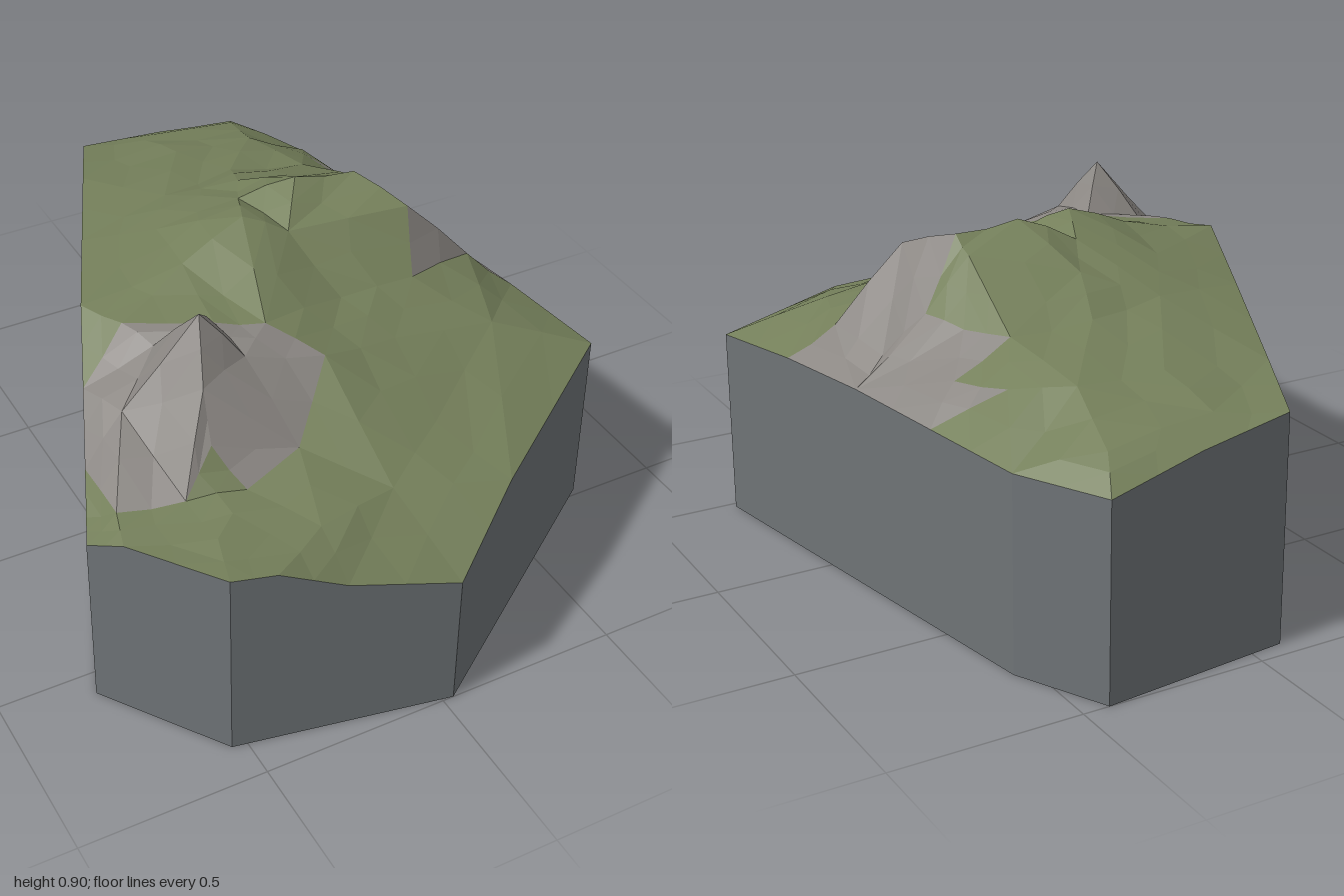
import * as THREE from 'three';

// Outline corners: x, z, rim height, then extra rim points along the edge to the next corner [fraction, height]
const CORNERS = [
  [-0.09, -0.95, 0.61, [[0.15, 0.65], [0.4, 0.71], [0.627, 0.76], [0.75, 0.65], [0.87, 0.555], [0.94, 0.5]]],
  [-0.76, 0.57, 0.5, [[0.27, 0.54]]],
  [-0.54, 0.89, 0.55, [[0.2, 0.54], [0.5, 0.46]]],
  [0.03, 1.0, 0.39, [[0.346, 0.48]]],
  [0.76, 0.48, 0.515, [[0.25, 0.535], [0.5, 0.54], [0.75, 0.53]]],
  [0.55, -0.76, 0.52, []],
  [0.43, -1.0, 0.52, [[0.5, 0.575]]],
];

// Ground points inside the outline: x, z, height
const GROUND = [
  // west crag
  [-0.34, 0.34, 0.89], [-0.45, 0.12, 0.76], [-0.41, 0.22, 0.74], [-0.25, 0.24, 0.77], [-0.13, 0.29, 0.76],
  [-0.03, 0.42, 0.71], [-0.24, 0.39, 0.76], [-0.39, 0.46, 0.76], [-0.36, 0.63, 0.56], [-0.51, 0.6, 0.56],
  [-0.41, 0.54, 0.65], [-0.55, 0.33, 0.66],
  // summit ridge
  [0.16, -0.09, 0.9], [0.33, -0.07, 0.88], [-0.04, -0.01, 0.88], [0.07, 0.04, 0.83], [0.02, -0.15, 0.84],
  [-0.23, 0.02, 0.81], [0.33, -0.14, 0.84],
  // east cliff
  [0.41, 0.08, 0.83], [0.46, -0.15, 0.71], [0.13, 0.22, 0.71], [0.36, 0.2, 0.69], [0.6, 0.1, 0.63],
  [0.42, -0.28, 0.7], [0.36, -0.41, 0.71], [0.51, -0.4, 0.62], [0.56, -0.1, 0.6], [0.45, -0.56, 0.64],
  // back slope
  [0.09, -0.29, 0.8], [0.15, -0.45, 0.73], [-0.08, -0.4, 0.74], [-0.2, -0.2, 0.78], [0.1, -0.7, 0.67],
  [0.33, -0.68, 0.665], [0.38, -0.9, 0.59], [0.08, -0.88, 0.62],
  // front slope
  [0.2, 0.38, 0.66], [0.5, 0.38, 0.61], [0.18, 0.62, 0.56], [-0.02, 0.75, 0.52], [-0.19, 0.58, 0.59],
  [-0.25, 0.8, 0.53], [-0.5, 0.75, 0.555], [-0.67, 0.55, 0.55],
];

// Plan outlines of the bare rock
const ROCKS = [
  [[-0.6, 0.13], [-0.45, 0.11], [-0.25, 0.23], [-0.13, 0.28], [-0.02, 0.42], [-0.36, 0.64], [-0.41, 0.53],
    [-0.51, 0.56], [-0.69, 0.4]],
  [[0.12, 0.21], [0.41, 0.07], [0.32, -0.07], [0.47, -0.15], [0.41, -0.28], [0.4, -0.42], [0.5, -0.48],
    [0.61, -0.48], [0.72, 0.18], [0.36, 0.21]],
];

const mat = (color) => new THREE.MeshStandardMaterial({ color, flatShading: true, roughness: 1 });

function inside(x, z, poly) {
  let hit = false;
  poly.forEach(([ax, az], i) => {
    const [bx, bz] = poly[(i + 1) % poly.length];
    if ((az > z) !== (bz > z) && x < ax + ((z - az) / (bz - az)) * (bx - ax)) hit = !hit;
  });
  return hit;
}

// Signed plan area, positive when the corners turn so that the face looks up
const turn = (a, b, c) => (b[1] - a[1]) * (c[0] - a[0]) - (b[0] - a[0]) * (c[1] - a[1]);

function inCircle(p, a, b, c) {
  const [A, B, C] = [a, b, c].map((q) => {
    const dx = q[0] - p[0], dz = p[1] - q[1];
    return [dx, dz, dx * dx + dz * dz];
  });
  return A[0] * (B[1] * C[2] - B[2] * C[1]) - A[1] * (B[0] * C[2] - B[2] * C[0])
    + A[2] * (B[0] * C[1] - B[1] * C[0]) > 0;
}

// Delaunay triangulation in plan, adding one point at a time
function triangulate(points) {
  const n = points.length;
  const all = [...points, [-900, 900], [900, 900], [0, -900]];
  let tris = [[n, n + 1, n + 2]];
  for (let i = 0; i < n; i++) {
    const edges = new Map();
    tris = tris.filter((t) => {
      if (!inCircle(all[i], ...t.map((k) => all[k]))) return true;
      t.forEach((a, k) => {
        const b = t[(k + 1) % 3];
        if (!edges.delete(b + '_' + a)) edges.set(a + '_' + b, [a, b]);
      });
      return false;
    });
    for (const [a, b] of edges.values()) tris.push([a, b, i]);
  }
  return tris.filter((t) => t.every((k) => k < n) && turn(...t.map((k) => all[k])) > 1e-5);
}

function mesh(name, triangles, material) {
  const geometry = new THREE.BufferGeometry();
  const flat = triangles.flat().flatMap(([x, z, h]) => [x, h, z]);
  geometry.setAttribute('position', new THREE.Float32BufferAttribute(flat, 3));
  geometry.computeVertexNormals();
  const m = new THREE.Mesh(geometry, material);
  m.name = name;
  return m;
}

export function createModel() {
  const group = new THREE.Group();
  group.name = 'terrainBlock';

  // Rim, running around the outline
  const rim = [];
  CORNERS.forEach(([x, z, h, extras], i) => {
    const [nx, nz] = CORNERS[(i + 1) % CORNERS.length];
    rim.push([x, z, h]);
    for (const [f, eh] of extras) rim.push([x + (nx - x) * f, z + (nz - z) * f, eh]);
  });

  // Ground facets: each large triangle is split in four with slightly uneven midpoints
  const points = [...GROUND, ...rim];
  const isRim = (k) => k >= GROUND.length;
  const middle = (i, j) => {
    const m = points[i].map((v, k) => (v + points[j][k]) / 2);
    if (!(isRim(i) && isRim(j))) m[2] += 0.008 * Math.sin(m[0] * 91 + m[1] * 57);
    return m;
  };
  const grass = [], rock = [];
  for (const [i, j, k] of triangulate(points)) {
    const [a, b, c] = [points[i], points[j], points[k]];
    const ab = middle(i, j), bc = middle(j, k), ca = middle(k, i);
    const cx = (a[0] + b[0] + c[0]) / 3, cz = (a[1] + b[1] + c[1]) / 3;
    const target = ROCKS.some((poly) => inside(cx, cz, poly)) ? rock : grass;
    target.push([a, ab, ca], [ab, b, bc], [ca, bc, c], [ab, bc, ca]);
  }
  group.add(mesh('grassGround', grass, mat(0x747f5a)));
  group.add(mesh('rockOutcrops', rock, mat(0x8a8682)));

  // Cut sides and flat underside
  const sides = [], under = [];
  const floor = ([x, z]) => [x, z, 0];
  rim.forEach((a, i) => {
    const b = rim[(i + 1) % rim.length];
    sides.push([a, floor(a), floor(b)], [a, floor(b), b]);
    under.push([[0, 0, 0], floor(b), floor(a)]);
  });
  const wall = mat(0x6e7376);
  group.add(mesh('blockSides', sides, wall), mesh('blockUnderside', under, wall));
  return group;
}
